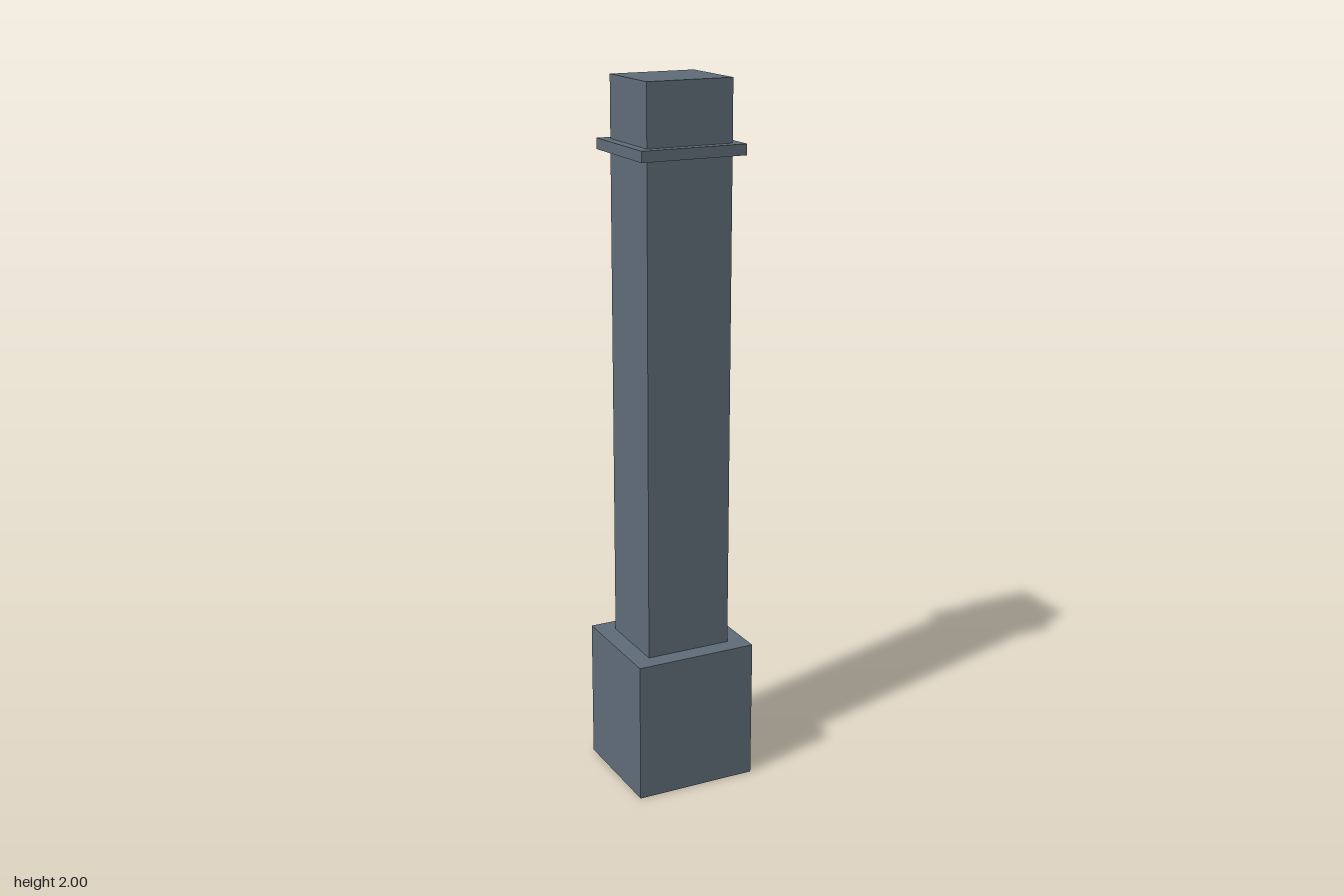
import * as THREE from 'three';

export function createModel() {
  const model = new THREE.Group();
  model.name = 'pillar';

  const slate = new THREE.MeshStandardMaterial({ color: 0x5f6d78 });
  slate.name = 'slate grey';

  // Box standing between two heights, centred on the pillar's axis
  const addBlock = (name, width, depth, bottom, top) => {
    const mesh = new THREE.Mesh(new THREE.BoxGeometry(width, top - bottom, depth), slate);
    mesh.name = name;
    mesh.position.y = (bottom + top) / 2;
    model.add(mesh);
  };

  addBlock('plinth', 0.356, 0.328, 0, 0.405);
  addBlock('shaft', 0.25, 0.224, 0.405, 1.8);
  addBlock('collar', 0.306, 0.28, 1.8, 1.83);
  addBlock('topBlock', 0.25, 0.224, 1.83, 2);

  return model;
}
